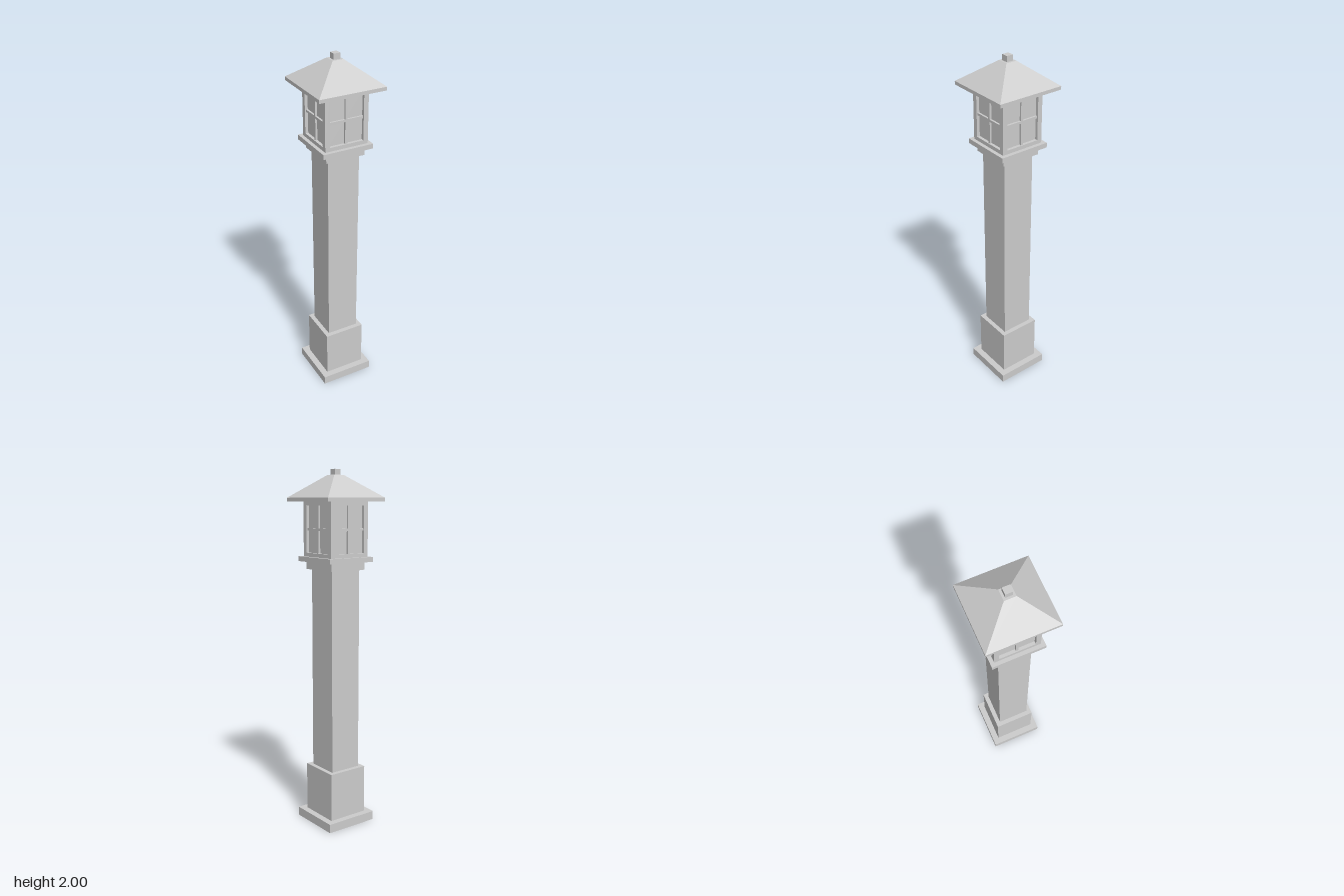
import * as THREE from 'three';

export function createModel() {
  const model = new THREE.Group();
  model.name = 'lanternPost';
  const material = new THREE.MeshStandardMaterial({ color: 0xcccccc, flatShading: true });

  function add(parent, name, geometry, x, y, z) {
    const mesh = new THREE.Mesh(geometry, material);
    mesh.name = name;
    mesh.position.set(x, y, z);
    parent.add(mesh);
    return mesh;
  }

  // Centred square block between two heights
  function block(name, width, y0, y1) {
    return add(model, name, new THREE.BoxGeometry(width, y1 - y0, width), 0, (y0 + y1) / 2, 0);
  }

  // Pillar, bottom to top
  block('base', 0.312, 0, 0.05);
  block('plinth', 0.238, 0.05, 0.326);
  block('shaft', 0.186, 0.326, 1.463);
  block('collar', 0.228, 1.463, 1.506);
  block('lanternTray', 0.292, 1.506, 1.533);

  // Lantern: glass core inside a square frame
  const bottom = 1.533, top = 1.83, half = 0.125, post = 0.027;
  const sillTop = 1.554, headBottom = 1.808;
  const midY = (sillTop + headBottom) / 2;
  const opening = 2 * (half - post);
  block('glass', 0.216, bottom, top);
  block('bottomRail', 2 * half, bottom, sillTop);
  block('topRail', 2 * half, headBottom, top);
  for (const sx of [-1, 1]) {
    for (const sz of [-1, 1]) {
      add(model, 'cornerPost', new THREE.BoxGeometry(post, headBottom - sillTop, post),
        sx * (half - post / 2), midY, sz * (half - post / 2));
    }
  }

  // Cross bars on all four windows
  for (let i = 0; i < 4; i++) {
    const side = new THREE.Group();
    side.name = 'windowBars';
    side.rotation.y = i * Math.PI / 2;
    add(side, 'uprightBar', new THREE.BoxGeometry(0.013, headBottom - sillTop, 0.014), 0, midY, 0.112);
    add(side, 'crossBar', new THREE.BoxGeometry(opening, 0.013, 0.014), 0, midY, 0.112);
    model.add(side);
  }

  // Roof: thin eave, hipped slope and finial
  const eave = 0.19, ridge = 0.031;
  block('eave', 2 * eave, 1.83, 1.849);
  const slope = new THREE.CylinderGeometry(ridge * Math.SQRT2, eave * Math.SQRT2, 0.12, 4);
  slope.rotateY(Math.PI / 4);
  add(model, 'roof', slope, 0, 1.909, 0);
  block('finial', 0.038, 1.969, 2);

  return model;
}
